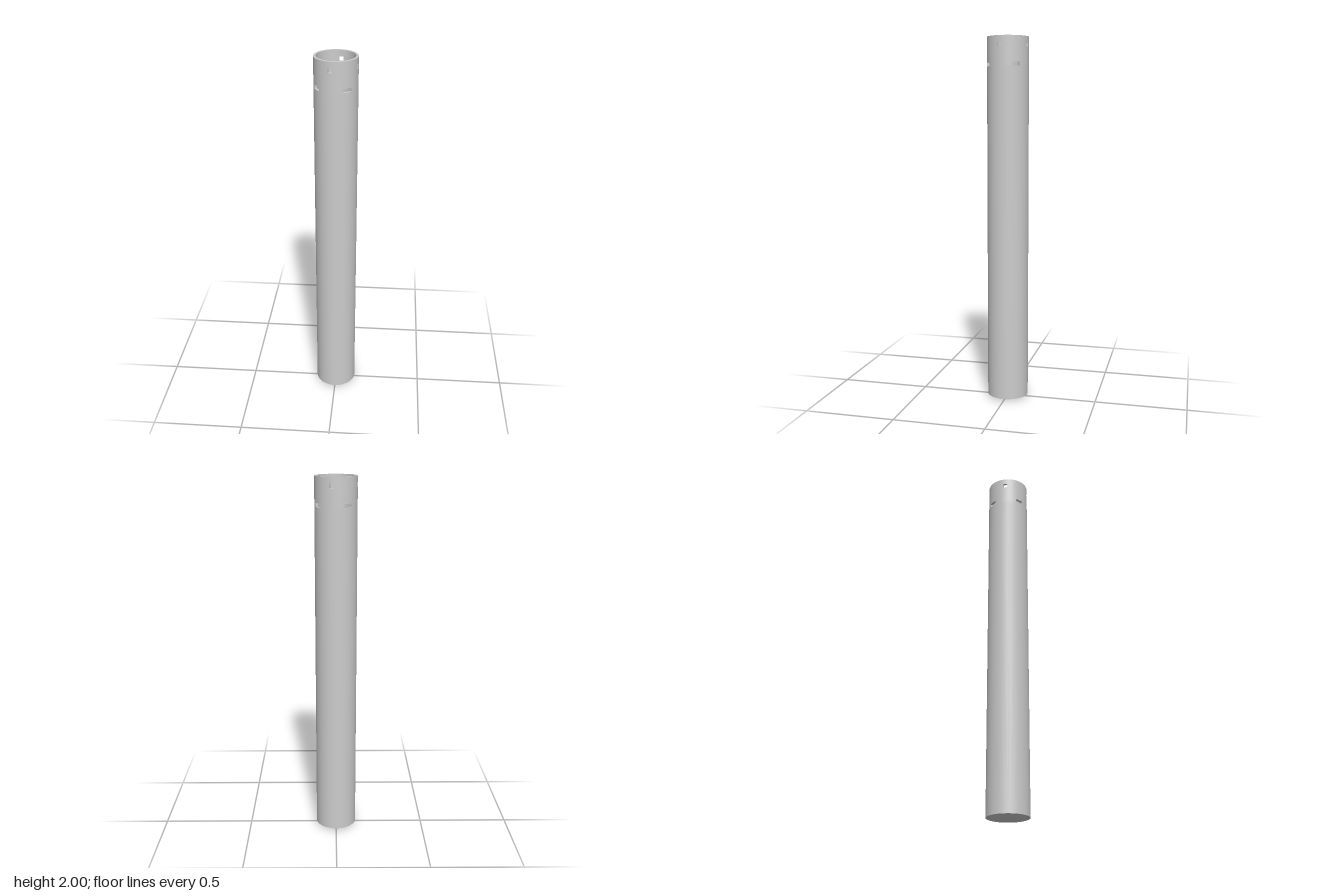
import * as THREE from 'three';

const OUTER = 0.113, INNER = 0.1, TOP = 2, BASE = 0.013, FLOOR = 0.025;
const STEP = 3, START = 1, SEGMENTS = 360 / STEP;
const DEG = Math.PI / 180;

// Openings repeat every quarter turn: angles in degrees from the front
const SLOT = { from: 22, to: 46, row: 1 };
const SQUARE = { from: -17, to: -5, row: 3 };
const ROWS = [BASE, 1.843, 1.864, 1.943, 1.967, TOP];

const wrap = a => ((a % 90) + 90) % 90;
const isOpen = (angle, row) => [SLOT, SQUARE].some(o =>
  o.row === row && wrap(angle + STEP / 2 - o.from) < o.to - o.from);

const point = (radius, angle, y) => new THREE.Vector3(
  radius * Math.sin(angle * DEG), y, radius * Math.cos(angle * DEG));

// Hollow wall with cut openings, built cell by cell around the tube
function wallGeometry() {
  const positions = [], normals = [];

  // side: 1 = smooth outward, -1 = smooth inward, 0 = flat
  function quad(corners, side = 0) {
    const flat = corners[1].clone().sub(corners[0])
      .cross(corners[2].clone().sub(corners[0])).normalize();
    for (const i of [0, 1, 2, 0, 2, 3]) {
      const p = corners[i];
      const n = side ? new THREE.Vector3(p.x, 0, p.z).normalize().multiplyScalar(side) : flat;
      positions.push(p.x, p.y, p.z);
      normals.push(n.x, n.y, n.z);
    }
  }
  const ledge = (a, b, y) => [point(OUTER, a, y), point(OUTER, b, y), point(INNER, b, y), point(INNER, a, y)];
  const jamb = (a, y0, y1) => [point(OUTER, a, y0), point(INNER, a, y0), point(INNER, a, y1), point(OUTER, a, y1)];

  for (let s = 0; s < SEGMENTS; s++) {
    const a = START + s * STEP, b = a + STEP;
    for (let row = 0; row < ROWS.length - 1; row++) {
      const y0 = ROWS[row], y1 = ROWS[row + 1];
      if (isOpen(a, row)) {
        // sides of the opening
        quad(ledge(a, b, y0));
        quad(ledge(a, b, y1).reverse());
        if (!isOpen(a - STEP, row)) quad(jamb(a, y0, y1));
        if (!isOpen(b, row)) quad(jamb(b, y0, y1).reverse());
      } else {
        const yIn = row === 0 ? FLOOR : y0;
        quad([point(OUTER, a, y0), point(OUTER, b, y0), point(OUTER, b, y1), point(OUTER, a, y1)], 1);
        quad([point(INNER, b, yIn), point(INNER, a, yIn), point(INNER, a, y1), point(INNER, b, y1)], -1);
      }
    }
    quad(ledge(a, b, TOP)); // rim
  }
  const geometry = new THREE.BufferGeometry();
  geometry.setAttribute('position', new THREE.Float32BufferAttribute(positions, 3));
  geometry.setAttribute('normal', new THREE.Float32BufferAttribute(normals, 3));
  return geometry;
}

export function createModel() {
  const model = new THREE.Group();
  model.name = 'slottedTube';
  const material = new THREE.MeshStandardMaterial({ color: 0xcccccc });
  const add = (name, geometry) => {
    const mesh = new THREE.Mesh(geometry, material);
    mesh.name = name;
    model.add(mesh);
    return mesh;
  };

  add('tubeWall', wallGeometry());

  // Very shallow domed underside
  const dome = [];
  for (let i = 0; i <= 8; i++) dome.push(new THREE.Vector2(OUTER * i / 8, BASE * (i / 8) ** 2));
  add('domedBase', new THREE.LatheGeometry(dome, SEGMENTS, START * DEG));

  // Closed floor inside the tube
  const floor = new THREE.CircleGeometry(INNER, SEGMENTS, START * DEG);
  floor.rotateX(-Math.PI / 2);
  add('innerFloor', floor).position.y = FLOOR;

  return model;
}
